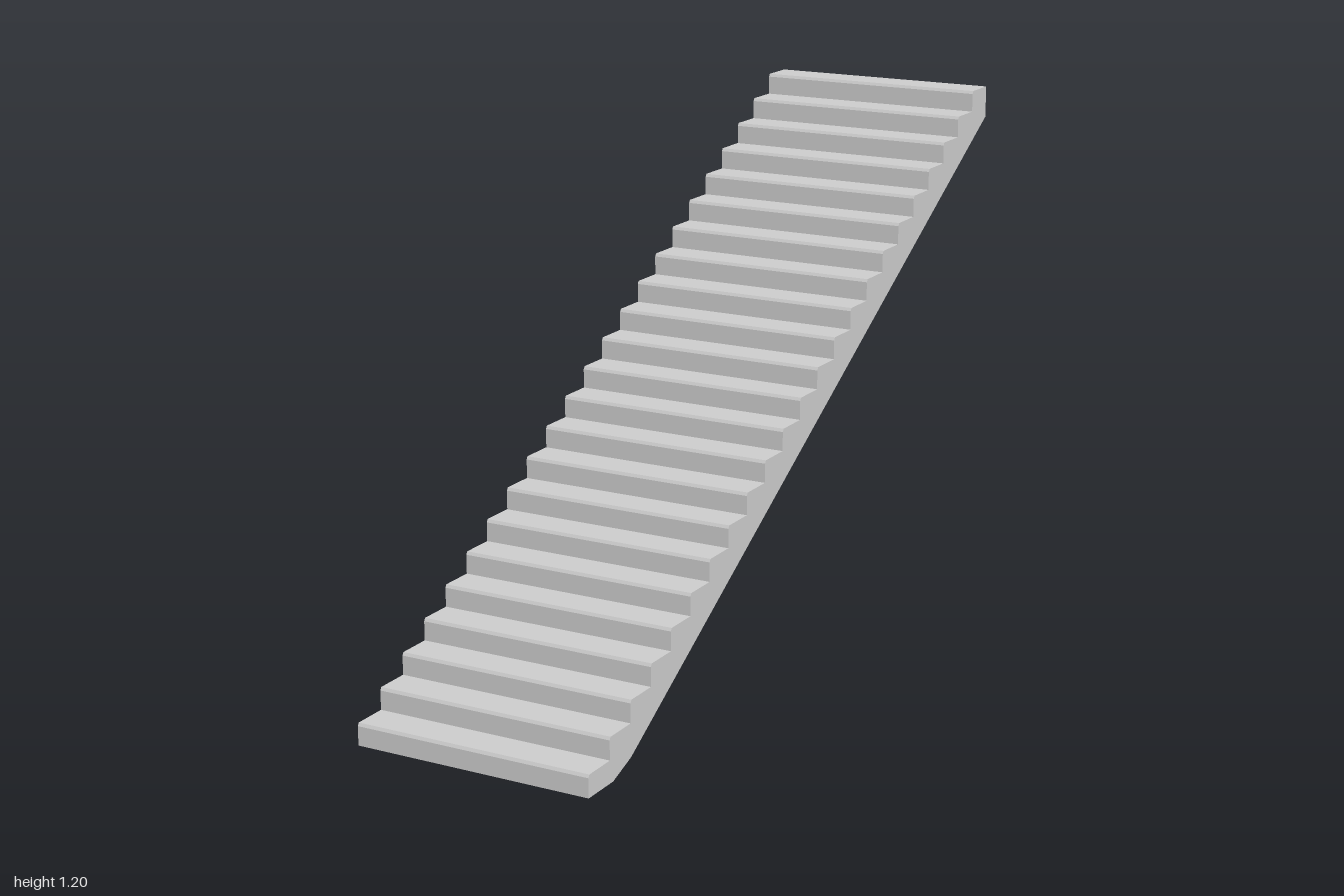
import * as THREE from 'three';

const STEPS = 23, WIDTH = 0.582, HEIGHT = 1.2, LENGTH = 2;

export function createModel() {
  const group = new THREE.Group();
  group.name = 'staircase';
  const rise = HEIGHT / STEPS, run = LENGTH / STEPS;
  const bevelY = 0.007, bevelZ = 0.004;

  // Side profile: shape x runs from the foot (z = 1) back to the top (z = -1)
  const profile = new THREE.Shape();
  profile.moveTo(0, 0);

  // Risers and treads, each with a small bevelled nosing
  for (let i = 0; i < STEPS; i++) {
    const x = i * run, y = (i + 1) * rise;
    profile.lineTo(x, y - bevelY);
    profile.lineTo(x + bevelZ, y);
    profile.lineTo(x + run, y);
  }

  // Upper end, sloping underside and the eased foot
  profile.lineTo(LENGTH, 1.122);
  profile.lineTo(0.175, 0.027);
  profile.lineTo(0.1, 0);
  profile.closePath();

  const geometry = new THREE.ExtrudeGeometry(profile, { depth: WIDTH, bevelEnabled: false });
  geometry.translate(-LENGTH / 2, 0, -WIDTH / 2);
  geometry.rotateY(Math.PI / 2);

  const flight = new THREE.Mesh(
    geometry,
    new THREE.MeshStandardMaterial({ color: 0xcccccc, flatShading: true })
  );
  flight.name = 'stairFlight';
  group.add(flight);
  return group;
}
